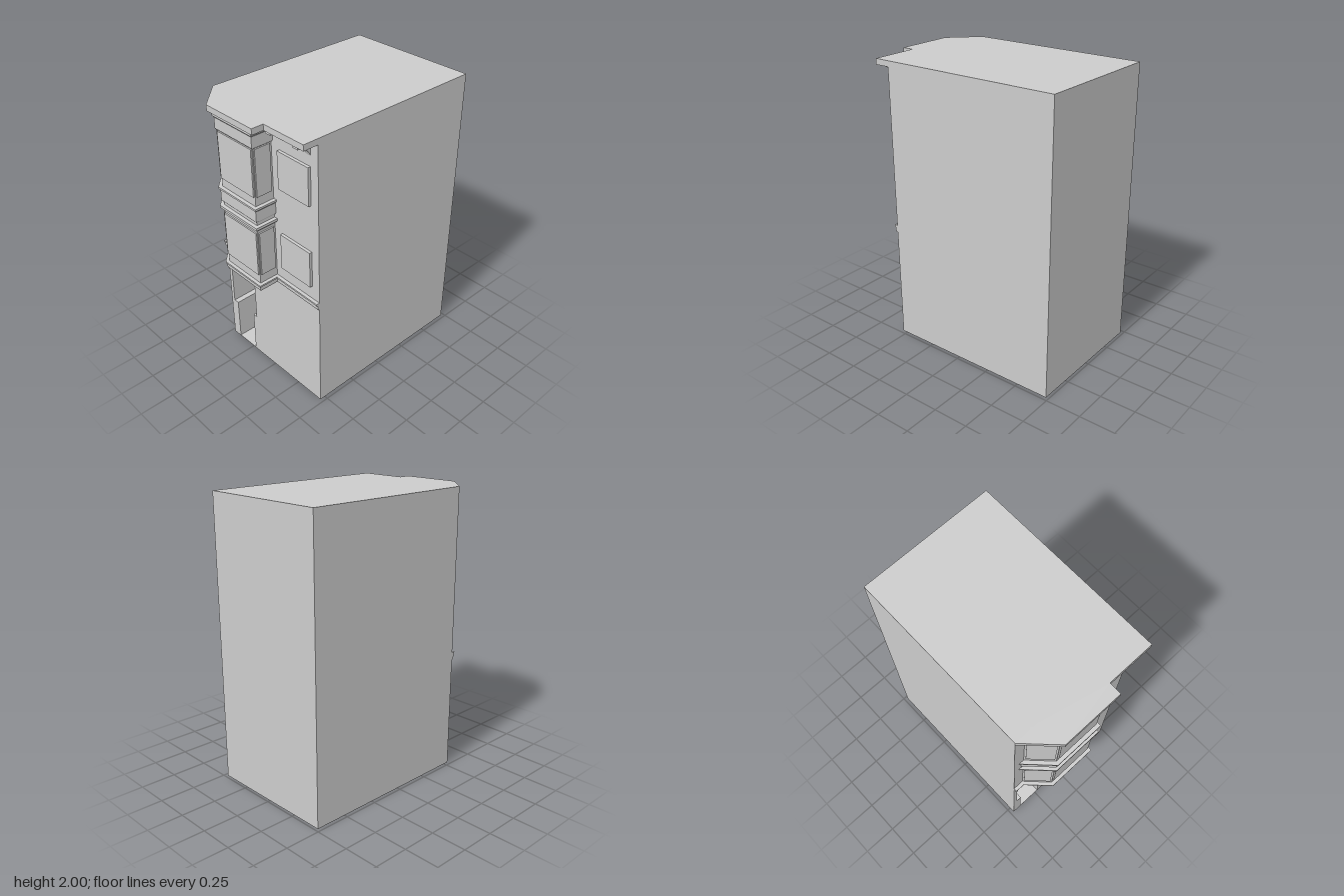
import * as THREE from 'three';

const grey = new THREE.MeshStandardMaterial({ color: 0xcccccc });
const WALL = 0.54, HALF = 0.475;

function add(group, name, geometry, x = 0, y = 0, z = 0) {
  const mesh = new THREE.Mesh(geometry, grey);
  mesh.name = name;
  mesh.position.set(x, y, z);
  group.add(mesh);
  return mesh;
}

// Plan of the bay, grown outward by d; corners run left to right as [x, z]
function bayPlan(d) {
  const back = WALL - 0.02;
  return [
    [-0.42 - d * Math.SQRT2, back],
    [-0.26 - d * (Math.SQRT2 - 1), 0.68 + d],
    [0.07 + d, 0.68 + d],
    [0.07 + d, back],
  ];
}

// Plan of the string course: the bay plus the flat wall on both sides
function wallPlan(d) {
  const bay = bayPlan(d), back = WALL - 0.02;
  return [
    [-HALF, back], [-HALF, WALL + d],
    [-0.40 - d * (Math.SQRT2 - 1), WALL + d],
    bay[1], bay[2], [0.07 + d, WALL + d],
    [HALF, WALL + d], [HALF, back],
  ];
}

// Closed solid stacked from plans; each level is [y, outward growth]
function stack(plan, levels) {
  const rings = levels.map(([y, d]) => plan(d).map(([x, z]) => new THREE.Vector3(x, y, z)));
  const pos = [];
  const tri = (...pts) => pts.forEach((p) => pos.push(p.x, p.y, p.z));
  for (let k = 0; k < rings.length - 1; k++) {
    const lo = rings[k], hi = rings[k + 1];
    lo.forEach((p, i) => {
      const j = (i + 1) % lo.length;
      tri(p, lo[j], hi[j]);
      tri(p, hi[j], hi[i]);
    });
  }
  const cap = (ring, up) => {
    const flat = ring.map((p) => new THREE.Vector2(p.x, -p.z));
    for (const [a, b, c] of THREE.ShapeUtils.triangulateShape(flat, [])) {
      if (up) tri(ring[a], ring[b], ring[c]);
      else tri(ring[a], ring[c], ring[b]);
    }
  };
  cap(rings[0], false);
  cap(rings[rings.length - 1], true);
  const g = new THREE.BufferGeometry();
  g.setAttribute('position', new THREE.Float32BufferAttribute(pos, 3));
  g.computeVertexNormals();
  return g;
}

export function createModel() {
  const model = new THREE.Group();
  model.name = 'townhouse';

  // Main block: plain rear, and a front part pierced by the arched doorway
  const recess = 0.45, split = WALL - recess;
  add(model, 'rearBlock', new THREE.BoxGeometry(2 * HALF, 2, split + 0.73), 0, 1, (split - 0.73) / 2);

  const front = new THREE.Shape();
  front.moveTo(-HALF, 0).lineTo(HALF, 0).lineTo(HALF, 2).lineTo(-HALF, 2).closePath();
  const door = new THREE.Path();
  door.moveTo(-0.405, 0.004);
  door.lineTo(-0.225, 0.004);
  door.lineTo(-0.225, 0.32);
  door.lineTo(-0.19, 0.32);
  door.lineTo(-0.19, 0.633);
  door.absarc(-0.3175, 0.633, 0.1275, 0, Math.PI, false);
  door.lineTo(-0.445, 0.32);
  door.lineTo(-0.405, 0.32);
  door.closePath();
  front.holes.push(door);
  add(model, 'frontBlock', new THREE.ExtrudeGeometry(front, { depth: recess, bevelEnabled: false, curveSegments: 20 }), 0, 0, split);

  // Bay with one slanted side, and its mouldings
  add(model, 'bay', stack(bayPlan, [[0.8, 0], [1.97, 0]]));
  add(model, 'upperFrieze', stack(bayPlan, [
    [1.83, 0.006], [1.843, 0.015], [1.915, 0.015], [1.927, 0.026], [1.94, 0.026],
  ]));
  add(model, 'middleFrieze', stack(bayPlan, [
    [1.323, 0.006], [1.336, 0.015], [1.41, 0.015], [1.422, 0.026], [1.435, 0.026],
  ]));
  add(model, 'middleLedge', stack(bayPlan, [
    [1.262, 0.006], [1.28, 0.026], [1.298, 0.026],
  ]));
  add(model, 'stringCourse', stack(wallPlan, [
    [0.8, 0.01], [0.812, 0.015], [0.834, 0.015], [0.84, 0.024], [0.852, 0.024],
  ]));

  // Window panels on the three faces of the bay, and on the flat wall
  for (const [y0, y1] of [[0.92, 1.238], [1.5, 1.825]]) {
    const h = y1 - y0, y = (y0 + y1) / 2;
    add(model, 'bayFrontWindow', new THREE.BoxGeometry(0.32, h, 0.02), -0.095, y, 0.68);
    add(model, 'baySideWindow', new THREE.BoxGeometry(0.02, h, 0.115), 0.07, y, 0.615);
    add(model, 'baySlantedWindow', new THREE.BoxGeometry(0.175, h, 0.02), -0.33, y, 0.61).rotation.y = -Math.PI / 4;
  }
  for (const y of [1.08, 1.67]) {
    add(model, 'wallWindow', new THREE.BoxGeometry(0.27, 0.26, 0.04), 0.277, y, WALL);
  }

  // Roof cornice overhanging bay and wall
  const roofPlan = () => [
    [-HALF, 0.5], [-HALF, 0.54], [-0.283, 0.73], [0.14, 0.73],
    [0.14, 0.645], [HALF, 0.645], [HALF, 0.5],
  ];
  add(model, 'roofCornice', stack(roofPlan, [[1.96, 0], [2, 0]]));

  // Curved brackets under the cornice
  const side = new THREE.Shape();
  side.moveTo(0.52, 1.97);
  side.lineTo(0.52, 1.87);
  side.lineTo(WALL, 1.87);
  side.quadraticCurveTo(0.565, 1.935, 0.635, 1.94);
  side.lineTo(0.635, 1.97);
  side.closePath();
  for (const x of [0.14, 0.373]) {
    const g = new THREE.ExtrudeGeometry(side, { depth: 0.042, bevelEnabled: false, curveSegments: 8 });
    g.rotateY(-Math.PI / 2);
    add(model, 'bracket', g, x + 0.042, 0, 0);
  }
  return model;
}
